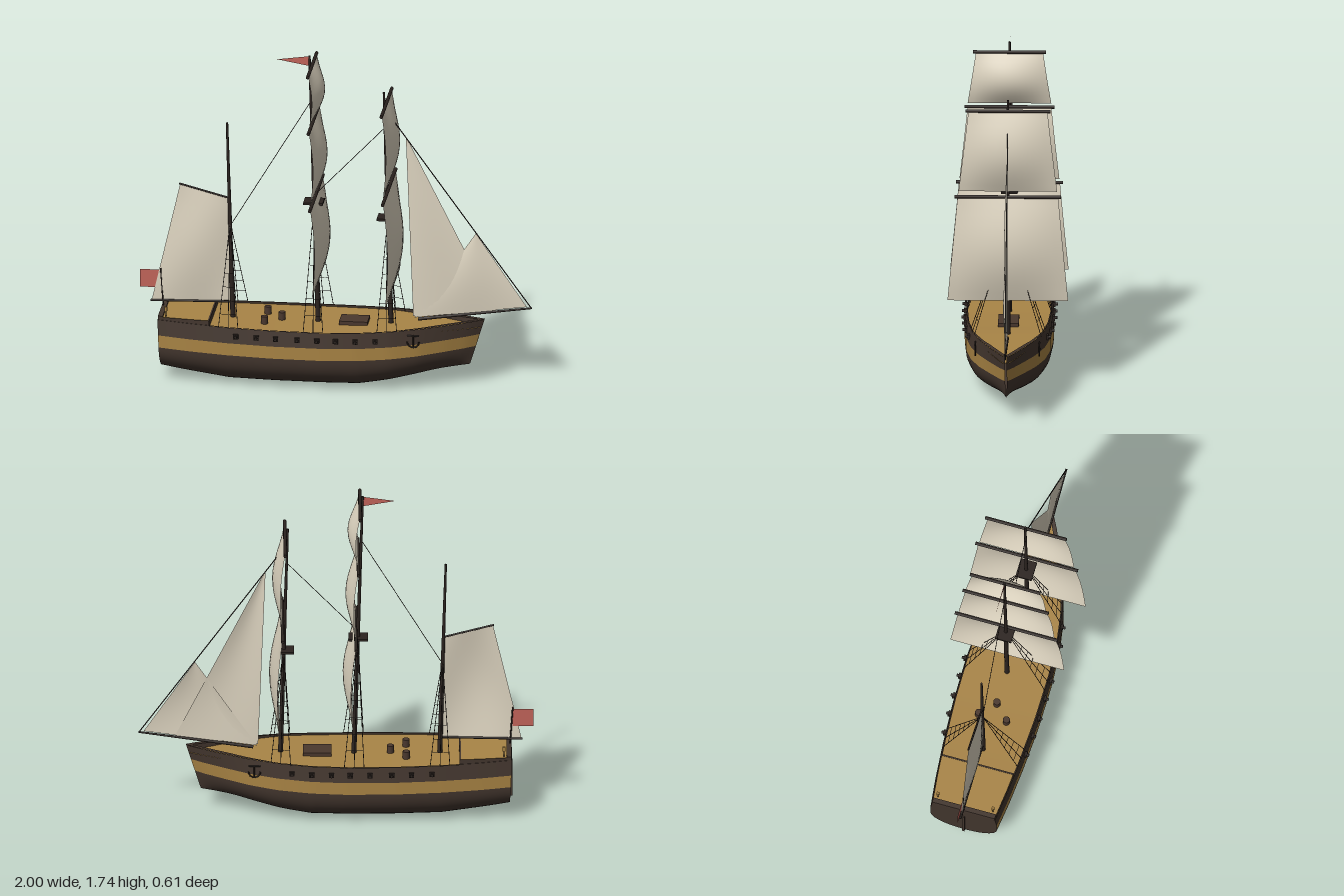
import * as THREE from 'three';

const mat = (name, color, side = THREE.DoubleSide) => {
  const m = new THREE.MeshStandardMaterial({ color, side });
  m.name = name;
  return m;
};
const lerp = THREE.MathUtils.lerp;
const V = (x, y, z = 0) => new THREE.Vector3(x, y, z);

// Hull stations: x, half breadth, keel height, sheer height
const STATIONS = [
  [-0.89, 0.175, 0.058, 0.34], [-0.72, 0.195, 0.034, 0.333], [-0.53, 0.211, 0.008, 0.327],
  [-0.3, 0.224, 0.005, 0.324], [-0.05, 0.226, 0.005, 0.324], [0.13, 0.215, 0.007, 0.327],
  [0.3, 0.188, 0.034, 0.334], [0.45, 0.144, 0.06, 0.341], [0.6, 0.083, 0.088, 0.35],
  [0.7, 0.038, 0.105, 0.356], [0.76, 0.004, 0.116, 0.36],
];
function station(x) {
  let i = 0;
  while (i < STATIONS.length - 2 && x > STATIONS[i + 1][0]) i++;
  const a = STATIONS[i], b = STATIONS[i + 1];
  const t = THREE.MathUtils.clamp((x - a[0]) / (b[0] - a[0]), 0, 1);
  return [1, 2, 3].map((k) => lerp(a[k], b[k], t));
}

// Hull section: v 0..1 is the bottom, 1..2 the stripe, 2..3 the topsides
function hullPoint(x, v, side) {
  const [b, keel, sheer] = station(x);
  const low = sheer - 0.145, high = sheer - 0.08;
  const bow = THREE.MathUtils.smoothstep(x, 0.2, 0.76);
  let y, w;
  if (v <= 1) {
    const u = 1 - Math.cos(v * Math.PI / 2);
    y = lerp(keel, low, u);
    w = b * Math.pow(1 - Math.pow(1 - u, 2.2), lerp(0.45, 0.75, bow));
  } else if (v <= 2) {
    y = lerp(low, high, v - 1);
    w = b;
  } else {
    y = lerp(high, sheer, v - 2);
    w = b * lerp(1, 0.95, v - 2);
  }
  const drop = (sheer - y) / (sheer - keel);
  const stern = x < -0.8 ? (-0.8 - x) / 0.09 : 0;
  return V(x - 0.075 * bow * drop + 0.012 * stern * drop, y, side * w);
}

// Grid surface from a rule f(u, v)
function surface(f, nu, nv) {
  const pos = [], idx = [];
  for (let i = 0; i <= nu; i++) for (let j = 0; j <= nv; j++) pos.push(...f(i / nu, j / nv).toArray());
  for (let i = 0; i < nu; i++) for (let j = 0; j < nv; j++) {
    const a = i * (nv + 1) + j, b = a + nv + 1;
    idx.push(a, b, b + 1, a, b + 1, a + 1);
  }
  const g = new THREE.BufferGeometry();
  g.setAttribute('position', new THREE.Float32BufferAttribute(pos, 3));
  g.setIndex(idx);
  g.computeVertexNormals();
  return g;
}

export function createModel() {
  const ship = new THREE.Group();
  ship.name = 'sailingShip';
  const hullMat = mat('darkHull', 0x43362e);
  const goldMat = mat('goldStripe', 0xa98444);
  const deckMat = mat('deckWood', 0xa98547);
  const sparMat = mat('blackSpar', 0x2b231f);
  const hatchMat = mat('hatchBrown', 0x4a382e);
  const sailMat = mat('canvas', 0xddd4c0);
  const flagMat = mat('redFlag', 0xc4655b);

  const add = (name, geo, m, parent = ship) => {
    const mesh = new THREE.Mesh(geo, m);
    mesh.name = name;
    parent.add(mesh);
    return mesh;
  };
  const box = (name, w, h, d, x, y, z, m, parent) => {
    const mesh = add(name, new THREE.BoxGeometry(w, h, d), m, parent);
    mesh.position.set(x, y, z);
    return mesh;
  };
  const beam = (name, a, b, r0, r1 = r0, parent = ship, sides = 8) => {
    const mesh = add(name, new THREE.CylinderGeometry(r1, r0, a.distanceTo(b), sides), sparMat, parent);
    mesh.position.copy(a).lerp(b, 0.5);
    mesh.quaternion.setFromUnitVectors(V(0, 1, 0), b.clone().sub(a).normalize());
    return mesh;
  };
  const rope = (name, a, b, parent, r = 0.0018) => beam(name, a, b, r, r, parent, 5);

  // Hull skin, rail and transom
  const alongX = (u) => lerp(-0.89, 0.76, u);
  for (const s of [1, -1]) {
    const band = (v0, v1) => (u, v) => hullPoint(alongX(s > 0 ? u : 1 - u), lerp(v1, v0, v), s);
    add('hullBottom', surface(band(0, 1), 60, 14), hullMat);
    add('hullStripe', surface(band(1, 2), 60, 1), goldMat);
    add('hullTopsides', surface(band(2, 3), 60, 2), hullMat);
    add('railCap', surface((u, v) => {
      const p = hullPoint(alongX(u), 3, s);
      const cap = lerp(0.006, 0.024, THREE.MathUtils.smoothstep(p.x, 0.25, 0.6));
      p.z = s * Math.max(0, Math.abs(p.z) - cap * v);
      p.y += 0.001;
      return p;
    }, 60, 1), hullMat);
  }
  add('transom', surface((u, v) => {
    const p = hullPoint(-0.89, v * 3, 1);
    p.z *= 1 - 2 * u;
    return p;
  }, 8, 30), hullMat);
  box('rudder', 0.016, 0.2, 0.014, -0.886, 0.17, 0, hullMat);

  // Decks
  const deck = (x0, x1, yOf, inset) => surface((u, v) => {
    const x = lerp(x0, x1, u), [b, , sheer] = station(x);
    return V(x, yOf(sheer), (v * 2 - 1) * b * inset);
  }, 40, 2);
  add('mainDeck', deck(-0.88, 0.74, (s) => Math.min(s - 0.012, 0.32), 0.95), deckMat);
  add('sternDeck', deck(-0.87, -0.63, () => 0.352, 0.93), deckMat);
  for (const s of [1, -1]) add('sternDeckSide', surface((u, v) => {
    const x = lerp(-0.87, -0.63, u);
    return V(x, lerp(0.315, 0.356, v), s * station(x)[0] * 0.935);
  }, 6, 1), hullMat);
  box('sternDeckFront', 0.008, 0.04, 0.376, -0.628, 0.334, 0, hullMat);
  box('sternRail', 0.025, 0.03, 0.33, -0.876, 0.345, 0, hullMat);

  // Deck fittings
  box('hatch', 0.145, 0.02, 0.105, 0.095, 0.324, 0, hatchMat);
  for (const [x, z] of [[-0.355, 0.073], [-0.355, -0.073], [-0.275, 0]])
    add('barrel', new THREE.CylinderGeometry(0.018, 0.018, 0.04, 12), hatchMat).position.set(x, 0.332, z);

  // Guns, anchors and stern lanterns on both sides
  for (const s of [1, -1]) {
    for (const x of [-0.485, -0.38, -0.28, -0.17, -0.07, 0.025, 0.125, 0.225]) {
      const z = s * station(x)[0];
      box('gunPort', 0.026, 0.024, 0.012, x, 0.285, z, sparMat);
      beam('gun', V(x, 0.285, z * 0.97), V(x, 0.285, z + s * 0.017), 0.008);
    }
    const anchor = new THREE.Group();
    anchor.name = 'anchor';
    anchor.position.set(0.415, 0.28, s * 0.163);
    ship.add(anchor);
    beam('anchorShank', V(0, -0.03, 0), V(0, 0.035, 0), 0.004, 0.004, anchor);
    beam('anchorStock', V(-0.03, 0.032, 0), V(0.03, 0.032, 0), 0.004, 0.004, anchor);
    const arms = add('anchorArms', new THREE.TorusGeometry(0.03, 0.004, 6, 12, Math.PI), sparMat, anchor);
    arms.rotation.z = Math.PI;
    beam('lanternPost', V(-0.85, 0.35, s * 0.145), V(-0.85, 0.385, s * 0.145), 0.003);
    box('lantern', 0.014, 0.022, 0.014, -0.85, 0.394, s * 0.145, goldMat);
  }

  // Masts with shrouds: [base x, top x, top y, shroud height, square sails as [top y, bottom y, half widths]]
  const masts = {
    mizzen: [-0.525, -0.556, 1.36, 0.82, []],
    main: [-0.09, -0.135, 1.74, 0.95, [[1.69, 1.42, 0.17, 0.212], [1.40, 1.02, 0.212, 0.253], [1.0, 0.54, 0.256, 0.3]]],
    fore: [0.282, 0.245, 1.56, 0.88, [[1.505, 1.08, 0.2, 0.25], [1.05, 0.5, 0.255, 0.306]]],
  };
  for (const [name, [x0, x1, top, shroudY, sails]] of Object.entries(masts)) {
    const at = (y) => lerp(x0, x1, (y - 0.3) / (top - 0.3));
    beam(name + 'Mast', V(x0, 0.3), V(x1, top), 0.0135, 0.006, ship, 10);
    const rig = new THREE.Group();
    rig.name = name + 'Shrouds';
    ship.add(rig);
    for (const s of [1, -1]) {
      const foot = (dx) => V(x0 + dx, 0.325, s * station(x0 + dx)[0] * 0.95);
      const head = V(at(shroudY), shroudY, s * 0.005);
      for (const dx of [-0.05, 0, 0.05]) rope('shroud', foot(dx), head, rig);
      for (let i = 1; i < 6; i++)
        rope('ratline', foot(-0.05).lerp(head, i * 0.13), foot(0.05).lerp(head, i * 0.13), rig, 0.0013);
    }
    if (sails.length) box(name + 'Top', 0.1, 0.012, 0.085, at(shroudY) - 0.002, shroudY + 0.005, 0, sparMat);
    for (const [yTop, yBottom, wTop, wBottom] of sails) {
      beam(name + 'Yard', V(at(yTop) + 0.012, yTop, -wTop - 0.015), V(at(yTop) + 0.012, yTop, wTop + 0.015), 0.009);
      add(name + 'SquareSail', surface((u, v) => {
        const y = lerp(yTop, yBottom, v), z = (1 - 2 * u) * lerp(wTop, wBottom, v);
        const belly = 0.058 * Math.sin(Math.PI * v) * (0.3 + 0.7 * Math.sin(Math.PI * u));
        return V(at(y) + 0.013 + belly, y, z);
      }, 14, 12), sailMat);
    }
  }

  // Fore-and-aft sails, spanned between four corners with a slight belly
  const flatSail = (name, a, b, c, d, belly) => add(name, surface((u, v) => {
    const p = a.clone().lerp(b, u).lerp(d.clone().lerp(c, u), v);
    p.z += belly * Math.sin(Math.PI * u) * Math.sin(Math.PI * v);
    return p;
  }, 12, 12), sailMat);
  flatSail('spanker', V(-0.795, 1.02), V(-0.548, 0.955), V(-0.535, 0.395), V(-0.94, 0.387), 0.03);
  beam('gaff', V(-0.8, 1.021), V(-0.54, 0.953), 0.005);
  beam('boom', V(-0.945, 0.385), V(-0.525, 0.396), 0.006);
  flatSail('innerJib', V(0.357, 1.33), V(0.357, 1.33), V(0.82, 0.4), V(0.395, 0.36), 0.015);
  flatSail('outerJib', V(0.715, 0.82), V(0.715, 0.82), V(0.975, 0.435), V(0.4, 0.352), 0.015);

  // Bowsprit and stays
  beam('bowsprit', V(0.42, 0.345), V(1.0, 0.43), 0.009, 0.005);
  rope('foreStay', V(0.255, 1.465), V(0.998, 0.43), ship, 0.003);
  rope('innerStay', V(0.25, 1.37), V(-0.1, 1.0));
  rope('mainStay', V(-0.125, 1.5), V(-0.53, 0.82));

  // Flags
  const flag = (name, pts) => add(name, new THREE.ShapeGeometry(new THREE.Shape(pts.map(([x, y]) => new THREE.Vector2(x, y)))), flagMat);
  flag('pennant', [[-0.133, 1.685], [-0.135, 1.738], [-0.3, 1.714]]);
  flag('sternFlag', [[-1, 0.455], [-0.895, 0.455], [-0.895, 0.55], [-1, 0.55]]);
  beam('flagStaff', V(-0.88, 0.34), V(-0.895, 0.56), 0.004);

  return ship;
}
